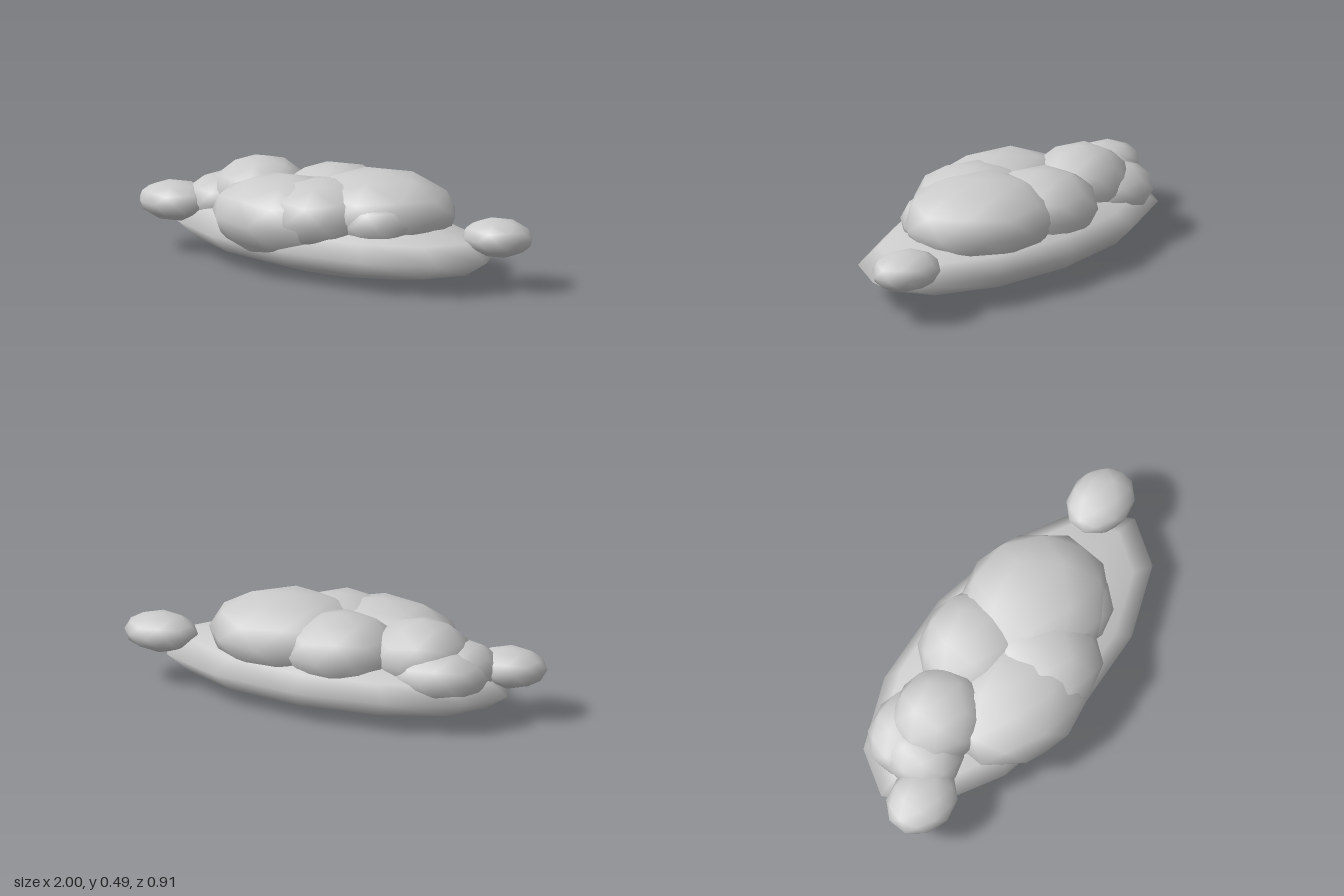
import * as THREE from 'three';

const material = new THREE.MeshStandardMaterial({ color: 0xcccccc });

// Coarse 80-sided ball with a corner at the top and smooth normals
function ballGeometry() {
  const g = new THREE.IcosahedronGeometry(1, 1);
  g.rotateX(-Math.atan((1 + Math.sqrt(5)) / 2));
  g.rotateY(Math.PI / 2);
  return g;
}

export function createModel() {
  const cloud = new THREE.Group();
  cloud.name = 'cloud';

  const addPuff = (name, geometry, centre, radii) => {
    const mesh = new THREE.Mesh(geometry, material);
    mesh.name = name;
    mesh.position.set(...centre);
    mesh.scale.set(...radii);
    cloud.add(mesh);
  };

  // Wide flattened base
  addPuff('base', new THREE.SphereGeometry(1, 12, 6), [-0.01, 0.15, -0.03], [0.9, 0.15, 0.425]);

  // Puffs heaped on the base: name, centre, radii
  const ball = ballGeometry();
  const puffs = [
    ['largeLeftPuff', [0.215, 0.3, -0.067], [0.39, 0.19, 0.343]],
    ['frontPuff', [-0.145, 0.255, 0.155], [0.395, 0.2, 0.3]],
    ['frontLeftPuff', [0.05, 0.29, 0.115], [0.284, 0.17, 0.3]],
    ['smallFrontLeftPuff', [0.32, 0.285, 0.05], [0.22, 0.135, 0.21]],
    ['backPuff', [-0.1, 0.285, -0.145], [0.29, 0.18, 0.265]],
    ['rightPuff', [-0.465, 0.285, -0.048], [0.25, 0.18, 0.225]],
    ['backRightPuff', [-0.59, 0.23, -0.105], [0.24, 0.13, 0.2]],
    ['smallRightPuff', [-0.645, 0.245, 0], [0.18, 0.125, 0.195]],
    // Small end puffs
    ['rightEndPuff', [-0.825, 0.233, 0.145], [0.184, 0.093, 0.155]],
    ['leftEndPuff', [0.83, 0.237, -0.187], [0.178, 0.091, 0.147]],
  ];
  for (const [name, centre, radii] of puffs) addPuff(name, ball, centre, radii);

  return cloud;
}
